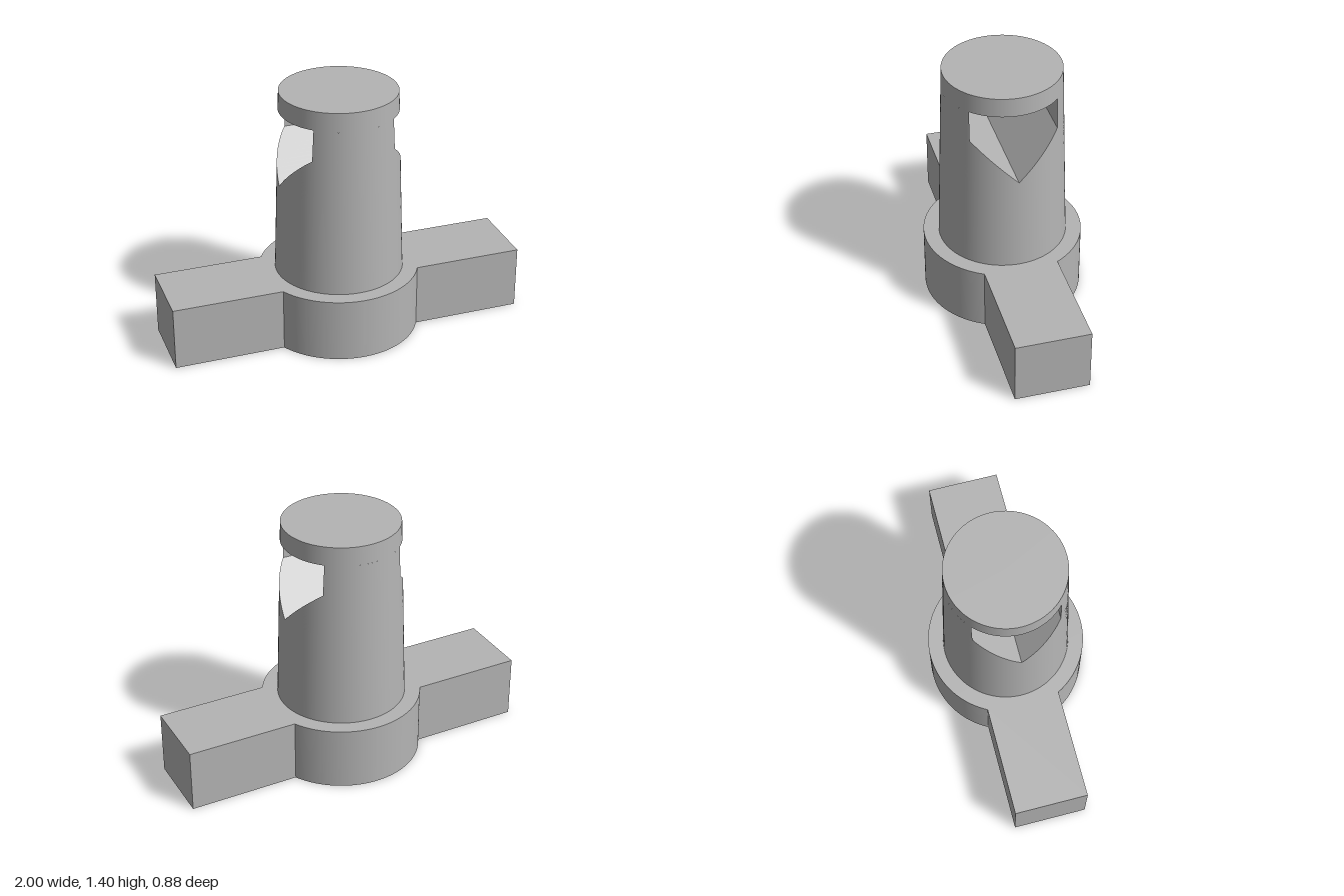
import * as THREE from 'three';
import { toCreasedNormals, mergeGeometries } from 'three/addons/utils/BufferGeometryUtils.js';

const BASE_H = 0.355, TOP = 1.4;                 // heights of base and post top
const R_LOW = 0.355, R_HIGH = 0.32;              // post radii
const APEX = 0.885, SHOULDER = 1.12, LINTEL = 1.295, HALF_W = 0.236; // window
const HUB_R = 0.44, ARM_HALF = 0.205;

const radius = y => R_LOW + (R_HIGH - R_LOW) * (y - BASE_H) / (TOP - BASE_H);
const halfWidth = y => HALF_W * THREE.MathUtils.clamp((y - APEX) / (SHOULDER - APEX), 0, 1);
const openAngle = y => Math.asin(halfWidth(y) / radius(y));
const onPost = (a, y) => [radius(y) * Math.cos(a), y, radius(y) * Math.sin(a)];
const steps = (a, b, n) => Array.from({ length: n + 1 }, (_, i) => a + (b - a) * i / n);

// Surface from rows of points; the front is on the side of (row step) x (column step)
function grid(rows, normalAt) {
  const n = rows[0].length, index = [];
  for (let r = 0; r < rows.length - 1; r++) {
    for (let c = 0; c < n - 1; c++) {
      const p = r * n + c;
      index.push(p, p + n, p + 1, p + 1, p + n, p + n + 1);
    }
  }
  const pts = rows.flat();
  const geo = new THREE.BufferGeometry();
  geo.setAttribute('position', new THREE.Float32BufferAttribute(pts.flat(), 3));
  geo.setIndex(index);
  if (normalAt) geo.setAttribute('normal', new THREE.Float32BufferAttribute(pts.flatMap(normalAt), 3));
  else geo.computeVertexNormals();
  return geo;
}

// Smooth normal of the tapered post
function coneNormal([x, , z]) {
  const slope = (R_LOW - R_HIGH) / (TOP - BASE_H);
  return new THREE.Vector3(x, slope * Math.hypot(x, z), z).normalize().toArray();
}

export function createModel() {
  const group = new THREE.Group();
  const grey = new THREE.MeshStandardMaterial({ color: 0xb4b4b4 });
  grey.name = 'grey';
  const add = (name, geo) => {
    const mesh = new THREE.Mesh(geo, grey);
    mesh.name = name;
    group.add(mesh);
  };

  // Base: round hub with two straight arms, one outline
  const a = Math.asin(ARM_HALF / HUB_R);
  const outline = new THREE.Shape();
  outline.moveTo(1, -ARM_HALF);
  outline.lineTo(1, ARM_HALF);
  outline.absarc(0, 0, HUB_R, a, Math.PI - a, false);
  outline.lineTo(-1, ARM_HALF);
  outline.lineTo(-1, -ARM_HALF);
  outline.absarc(0, 0, HUB_R, Math.PI + a, 2 * Math.PI - a, false);
  outline.closePath();
  const base = new THREE.ExtrudeGeometry(outline, { depth: BASE_H, bevelEnabled: false, curveSegments: 48 });
  base.rotateX(-Math.PI / 2);
  add('base', toCreasedNormals(base, 0.5));

  // Post skin and window walls, front half and back half
  const slopeYs = steps(APEX, SHOULDER, 16);
  const skin = [], walls = [];
  for (const turn of [0, Math.PI]) {
    const arc = y => steps(turn + openAngle(y), turn + Math.PI - openAngle(y), 48).map(t => onPost(t, y));
    const across = y => [turn + Math.PI - openAngle(y), turn + openAngle(y)].map(t => onPost(t, y));
    skin.push(grid([BASE_H, ...slopeYs, LINTEL].map(arc), coneNormal));
    walls.push(grid(slopeYs.map(across)), grid([SHOULDER, LINTEL].map(across)));
  }

  // Closed band above the window
  skin.push(grid([LINTEL, TOP].map(y => steps(0, 2 * Math.PI, 96).map(t => onPost(t, y))), coneNormal));
  add('post', mergeGeometries(skin));

  // Window ceiling, facing down
  walls.push(grid(steps(-HALF_W, HALF_W, 24).map(z => {
    const x = Math.sqrt(radius(LINTEL) ** 2 - z * z);
    return [[x, LINTEL, z], [-x, LINTEL, z]];
  })));
  add('windowWalls', mergeGeometries(walls));

  // Flat top of the post
  const cap = new THREE.CircleGeometry(R_HIGH, 96);
  cap.rotateX(-Math.PI / 2);
  cap.translate(0, TOP, 0);
  add('postTop', cap);

  return group;
}
